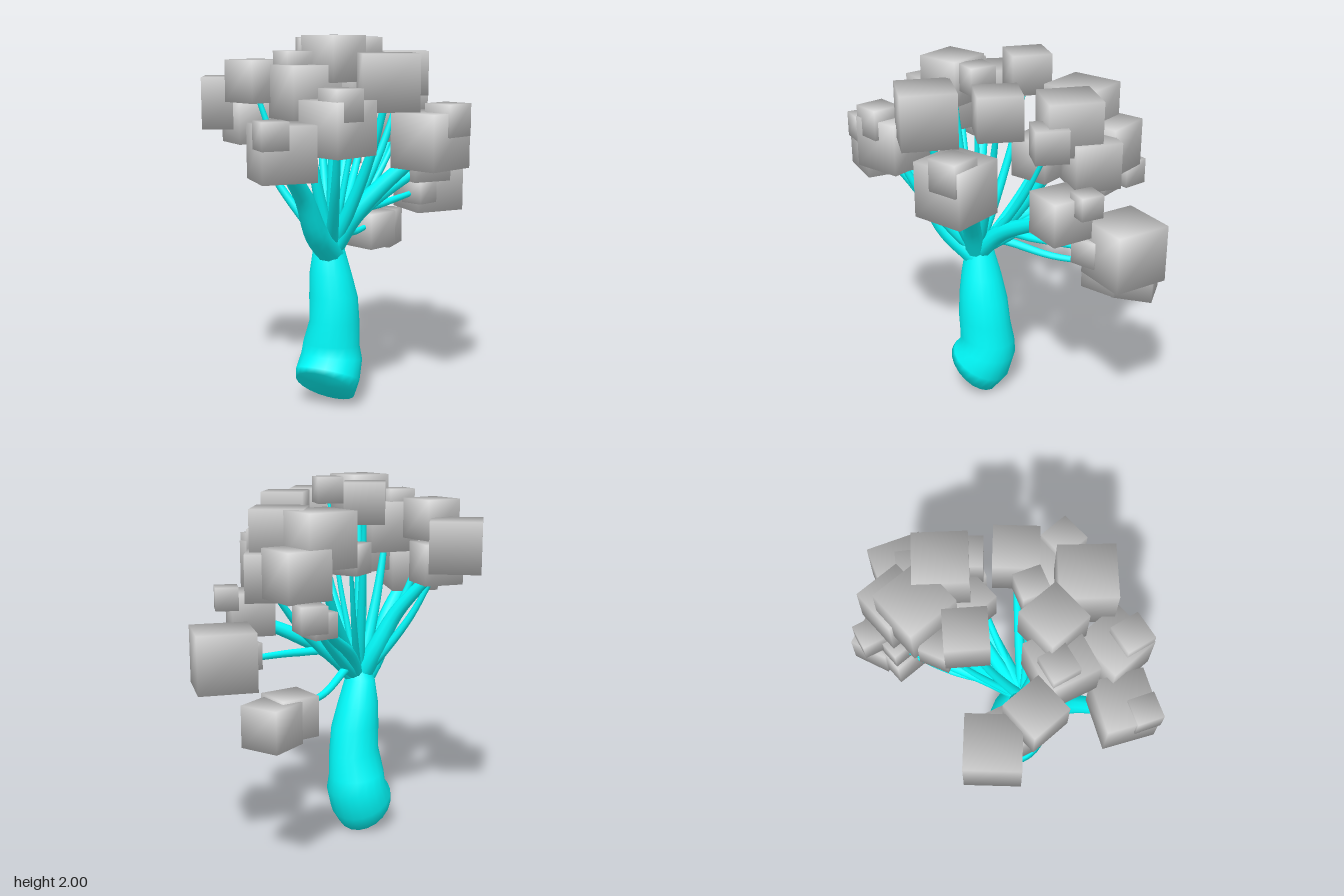
import * as THREE from 'three';
import { mergeVertices } from 'three/addons/utils/BufferGeometryUtils.js';

const bark = new THREE.MeshStandardMaterial({ color: 0x00ffff });
const leaf = new THREE.MeshStandardMaterial({ color: 0xcccccc });

// Unit cube with shared corners, its normals pointing out through the corners
function softCube() {
  const g = new THREE.BoxGeometry(1, 1, 1);
  g.deleteAttribute('normal');
  g.deleteAttribute('uv');
  const m = mergeVertices(g);
  m.setAttribute('normal', m.attributes.position.clone());
  m.normalizeNormals();
  return m;
}

// Trunk: rings leaning from a front point to a back point, with a slanted foot
function trunkGeometry() {
  // front z, front y, back z, back y, centre x, half width
  const rings = [
    [0.33, 0.23, 0.07, 0.0, -0.02, 0.165],
    [0.315, 0.255, 0.0, 0.09, -0.025, 0.178],
    [0.275, 0.3, -0.04, 0.23, -0.02, 0.17],
    [0.275, 0.36, -0.035, 0.32, -0.02, 0.155],
    [0.275, 0.49, -0.02, 0.45, 0.003, 0.135],
    [0.27, 0.63, 0.0, 0.6, 0.0, 0.132],
    [0.26, 0.75, 0.035, 0.73, -0.01, 0.115],
    [0.24, 0.88, 0.08, 0.88, -0.015, 0.085],
    [0.2, 0.96, 0.12, 0.96, 0.0, 0.045],
  ];
  const n = 20, pos = [], index = [];
  for (const [fz, fy, bz, by, cx, w] of rings) {
    for (let i = 0; i < n; i++) {
      const a = (i / n) * Math.PI * 2, t = (1 + Math.cos(a)) / 2;
      pos.push(cx + w * Math.sin(a), by + (fy - by) * t, bz + (fz - bz) * t);
    }
  }
  for (let r = 0; r < rings.length - 1; r++) {
    for (let i = 0; i < n; i++) {
      const a = r * n + i, b = r * n + (i + 1) % n;
      index.push(a, b, b + n, a, b + n, a + n);
    }
  }
  // Foot cap, sharing the lowest ring so the rim shades softly
  const c = pos.length / 3;
  pos.push(-0.02, 0.115, 0.2);
  for (let i = 0; i < n; i++) index.push(c, (i + 1) % n, i);
  const g = new THREE.BufferGeometry();
  g.setAttribute('position', new THREE.Float32BufferAttribute(pos, 3));
  g.setIndex(index);
  g.computeVertexNormals();
  return g;
}

// Branch: a tube whose radius shrinks along its path
function branchGeometry(points, r0, r1) {
  const path = new THREE.CatmullRomCurve3(points.map(p => new THREE.Vector3(...p)));
  const segs = 14, sides = 10;
  const g = new THREE.TubeGeometry(path, segs, 1, sides);
  const p = g.attributes.position, v = new THREE.Vector3();
  for (let i = 0; i <= segs; i++) {
    const c = path.getPointAt(i / segs), r = r0 + (r1 - r0) * (i / segs);
    for (let j = 0; j <= sides; j++) {
      const k = i * (sides + 1) + j;
      v.fromBufferAttribute(p, k).sub(c).multiplyScalar(r).add(c);
      p.setXYZ(k, v.x, v.y, v.z);
    }
  }
  return g;
}

// Upright branch from the fork, bending out to the underside of a block
function uprightBranch(x, y, z, size) {
  const rise = y - 0.35 * size - 0.88, reach = z - 0.17, r = 0.15 * size;
  const at = (f, h) => [x * f, 0.88 + rise * h, 0.17 + reach * f];
  return branchGeometry([at(0, 0), at(0.3, 0.24), at(0.67, 0.6), at(0.97, 1)], r, r * 0.4);
}

export function createModel() {
  const tree = new THREE.Group();
  tree.name = 'tree';
  const add = (name, geometry, material) => {
    const m = new THREE.Mesh(geometry, material);
    m.name = name;
    tree.add(m);
    return m;
  };
  add('trunk', trunkGeometry(), bark);

  // Main boughs and the low thin side branches: path, start and end radius
  const boughs = [
    [[[0, 0.86, 0.17], [0, 0.99, 0.34], [0, 1.2, 0.48], [0, 1.36, 0.64]], 0.075, 0.035],
    [[[0, 0.87, 0.17], [0.12, 1.06, 0.15], [0.26, 1.22, 0.11], [0.44, 1.39, 0.06]], 0.06, 0.035],
    [[[0, 0.87, 0.17], [-0.11, 1.07, 0.19], [-0.22, 1.28, 0.23], [-0.5, 1.58, 0.28]], 0.06, 0.022],
    [[[0, 0.88, 0.16], [0.08, 1.05, 0], [0.18, 1.16, -0.17], [0.3, 1.26, -0.35]], 0.055, 0.03],
    [[[0, 0.88, 0.16], [-0.06, 1.05, 0], [-0.13, 1.19, -0.25], [-0.2, 1.31, -0.46]], 0.04, 0.02],
    [[[0, 0.9, 0.15], [0.06, 1.05, 0], [0.14, 1.075, -0.2], [0.22, 1.1, -0.6]], 0.03, 0.014],
    [[[0, 0.97, 0.1], [-0.02, 0.955, 0], [-0.06, 0.885, -0.25], [-0.08, 0.88, -0.6]], 0.025, 0.013],
  ];
  for (const [path, r0, r1] of boughs) add('bough', branchGeometry(path, r0, r1), bark);

  // Foliage blocks: x, y, z, size, turn in degrees (most share one turn)
  const low = [
    [-0.085, 0.84, -0.71, 0.215, 2], [-0.08, 0.855, -0.56, 0.21],
    [0.23, 1.13, -0.7, 0.3, -40], [0.24, 1.11, -0.53, 0.14],
    [-0.24, 1.37, -0.6, 0.135, -33], [-0.2, 1.315, -0.47, 0.13],
    [0.35, 1.4, -0.53, 0.12, -45], [0.31, 1.31, -0.39, 0.225, -40],
    [0, 1.455, 0.71, 0.27, -45], [0, 1.545, 0.815, 0.135, -42],
    [0.52, 1.475, 0.08, 0.285], [0.605, 1.58, 0.06, 0.165],
    [-0.54, 1.65, 0.28, 0.27, 27], [0.26, 1.68, 0.6, 0.155, -30],
    [-0.105, 1.85, 0.385, 0.145, -32],
  ];
  // Blocks that each sit on an upright branch of their own
  const high = [
    [-0.1, 1.56, -0.52, 0.25], [0.1, 1.53, -0.48, 0.24, 36],
    [0.12, 1.725, -0.37, 0.275, 31], [-0.12, 1.72, -0.37, 0.28],
    [0.26, 1.66, -0.31, 0.17, 28], [-0.2, 1.61, -0.2, 0.155, 5],
    [0.1, 1.53, -0.22, 0.21], [0.32, 1.805, -0.065, 0.225, 27],
    [-0.185, 1.88, -0.055, 0.21, 33], [0.16, 1.92, 0.1, 0.14, -40],
    [0.065, 1.885, 0.265, 0.23], [0.37, 1.775, 0.29, 0.28, 30],
    [-0.045, 1.72, 0.37, 0.27, -35], [-0.325, 1.77, 0.385, 0.215],
    [-0.42, 1.55, 0.28, 0.215, -35], [0.215, 1.565, 0.54, 0.265],
  ];
  for (const [x, y, z, size] of high) add('branch', uprightBranch(x, y, z, size), bark);

  const cube = softCube();
  for (const [x, y, z, size, turn = -20] of [...low, ...high]) {
    const m = add('foliageBlock', cube, leaf);
    m.position.set(x, y, z);
    m.scale.setScalar(size);
    m.rotation.y = THREE.MathUtils.degToRad(turn);
  }
  return tree;
}
